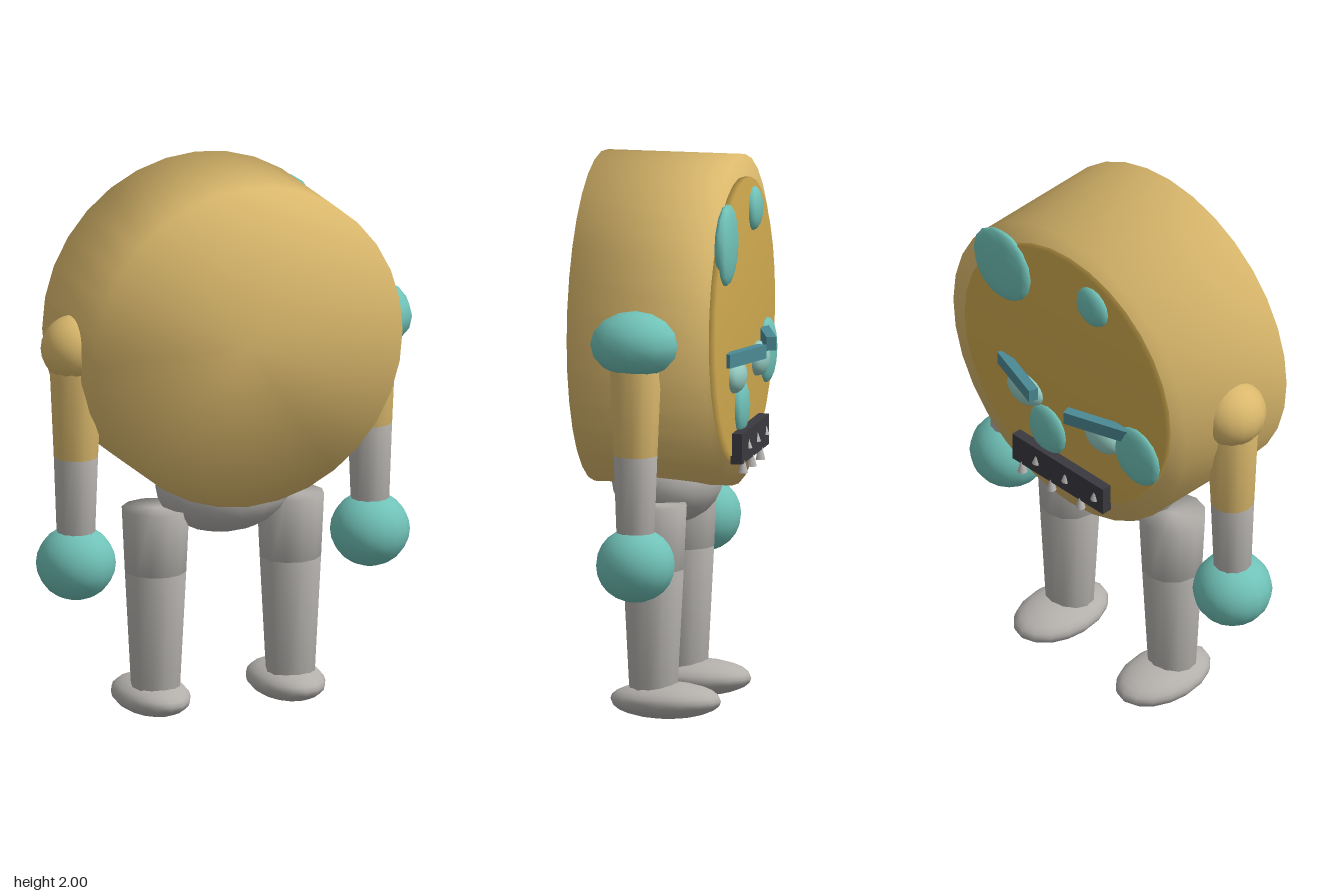
import * as THREE from 'three';
import { mergeVertices } from 'three/addons/utils/BufferGeometryUtils.js';

const mat = (name, color) => {
  const m = new THREE.MeshStandardMaterial({ color });
  m.name = name;
  return m;
};

// Weld all corners so that the shading rolls softly over the rims
function welded(geometry) {
  geometry.deleteAttribute('normal');
  geometry.deleteAttribute('uv');
  const g = mergeVertices(geometry, 1e-4);
  g.computeVertexNormals();
  return g;
}

export function createModel() {
  const gold = mat('gold', 0xdab86c);
  const faceGold = mat('face gold', 0xcfa94e);
  const teal = mat('teal', 0x70c2b8);
  const paleTeal = mat('pale teal', 0x93cac1);
  const deepTeal = mat('deep teal', 0x4b8a95);
  const grey = mat('grey', 0xb3b0ac);
  const dark = mat('charcoal', 0x3a393f);
  const toothGrey = mat('tooth grey', 0xb8b6b4);

  const model = new THREE.Group();
  model.name = 'roundRobot';
  const cx = -0.005; // middle of the body
  const limbZ = 0.063;

  const add = (name, geometry, material, x, y, z) => {
    const mesh = new THREE.Mesh(geometry, material);
    mesh.name = name;
    mesh.position.set(x, y, z);
    model.add(mesh);
    return mesh;
  };
  const ball = (name, material, pos, radii, w = 16, h = 12) => {
    const g = new THREE.SphereGeometry(1, w, h).scale(...radii);
    return add(name, g, material, ...pos);
  };
  // Upright tapered segment between two heights
  const limb = (name, material, x, y0, y1, r0, r1) => {
    const g = welded(new THREE.CylinderGeometry(r1, r0, y1 - y0, 12));
    return add(name, g, material, x, (y0 + y1) / 2, limbZ);
  };
  // Disc whose axis runs from front to back
  const disc = (name, material, r, z0, z1, sides) => {
    const g = welded(new THREE.CylinderGeometry(r, r, z1 - z0, sides));
    g.rotateX(Math.PI / 2);
    return add(name, g, material, cx, 1.407, (z0 + z1) / 2);
  };

  // Drum body with the face plate on its rear side
  disc('body', gold, 0.593, -0.193, 0.309, 32);
  disc('facePlate', faceGold, 0.512, -0.217, -0.185, 32);
  ball('pelvis', grey, [cx, 0.83, 0.066], [0.25, 0.166, 0.2]);

  // Arms and legs
  for (const side of [-1, 1]) {
    const p = side > 0 ? 'left' : 'right';
    const ax = cx + side * 0.567;
    const lx = cx + side * 0.26;
    ball(p + 'Shoulder', gold, [ax, 1.4, 0.06], [0.125, 0.122, 0.125]);
    limb(p + 'UpperArm', gold, ax, 1.0, 1.4, 0.08, 0.098);
    limb(p + 'Forearm', grey, ax, 0.7, 1.0, 0.069, 0.08);
    ball(p + 'Hand', teal, [ax, 0.603, 0.063], [0.143, 0.135, 0.143]);
    limb(p + 'Thigh', grey, lx, 0.54, 0.773, 0.111, 0.122);
    limb(p + 'Shin', grey, lx, 0.1, 0.54, 0.088, 0.111);
    ball(p + 'Foot', grey, [lx, 0.066, 0.018], [0.132, 0.066, 0.202]);
  }
  ball('leftShoulderPatch', teal, [0.575, 1.405, 0.06], [0.138, 0.12, 0.165], 10, 8);

  // Flattened patches on the face: x, y, width and height radii
  const patches = [
    [0.315, 1.73, 0.145, 0.148],
    [-0.145, 1.79, 0.078, 0.08],
    [0.083, 1.112, 0.092, 0.1],
    [-0.372, 1.24, 0.115, 0.118],
  ];
  for (const [x, y, rx, ry] of patches) {
    ball('facePatch', teal, [x, y, -0.217], [rx, ry, 0.033], 10, 8);
  }

  // Eyes and slanted brows
  for (const side of [-1, 1]) {
    const p = side > 0 ? 'left' : 'right';
    ball(p + 'Eye', paleTeal, [cx + side * 0.197, 1.237, -0.22], [0.086, 0.062, 0.044], 12, 10);
    const brow = add(p + 'Brow', new THREE.BoxGeometry(0.255, 0.05, 0.037), deepTeal,
      cx + side * 0.203, 1.31, -0.255);
    brow.rotation.y = -side * 0.32;
  }

  // Mouth bar with two staggered rows of small pointed teeth
  add('mouth', new THREE.BoxGeometry(0.46, 0.11, 0.042), dark, cx, 0.977, -0.234);
  for (let i = 0; i < 6; i++) {
    const low = i % 2 === 1;
    add('tooth', new THREE.ConeGeometry(0.018, low ? 0.07 : 0.05, 8), toothGrey,
      cx + (i - 2.5) * 0.074, low ? 0.92 : 0.988, -0.249);
  }
  return model;
}
